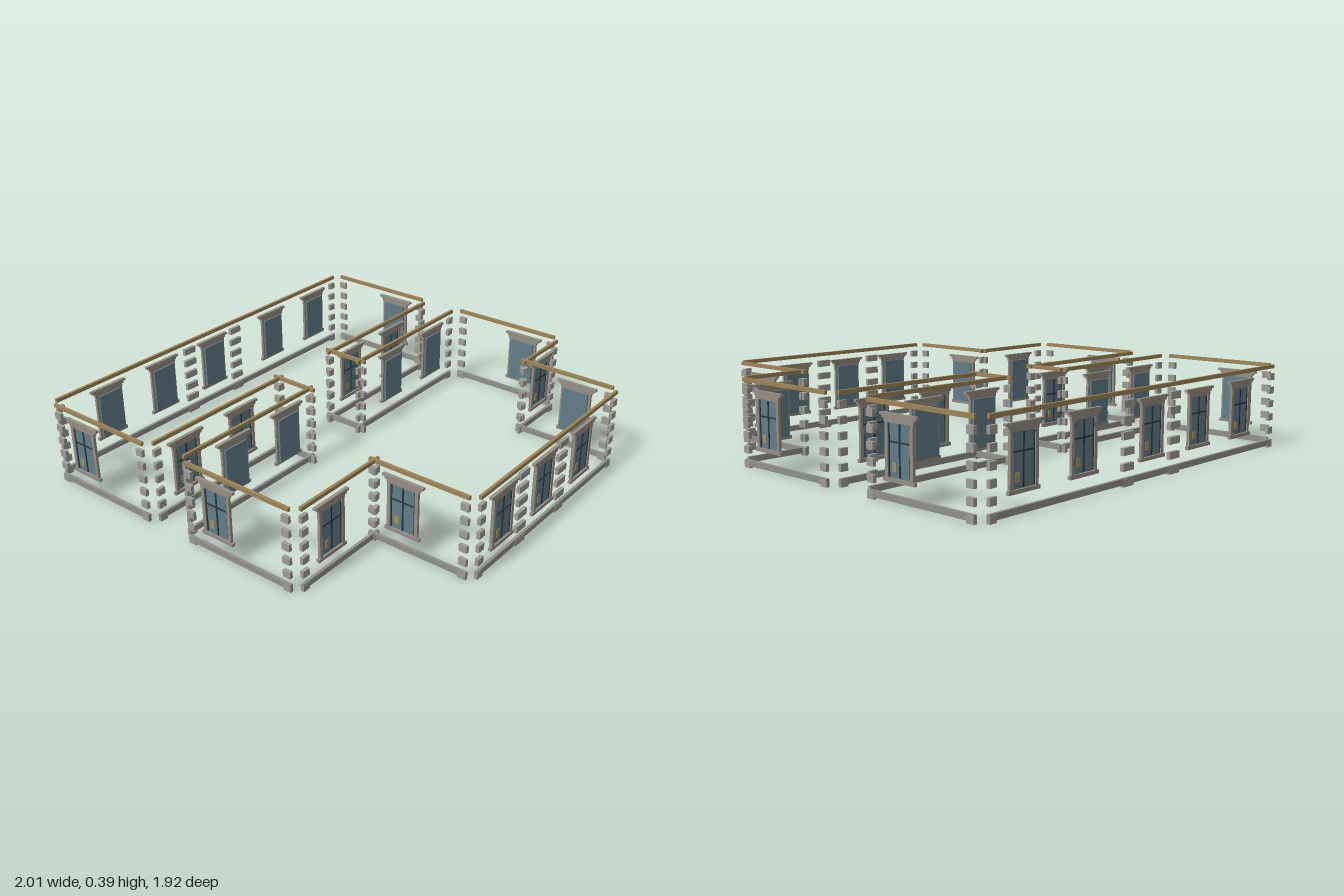
import * as THREE from 'three';

const mat = (color) => new THREE.MeshStandardMaterial({ color });
const M = {
  stone: mat(0x9c9a94), base: mat(0x8f8f8a), band: mat(0x9c8458), trim: mat(0x958d82),
  glass: mat(0x627c88), dark: mat(0x2c3840), brass: mat(0xa8955c),
};

function box(parent, name, material, w, h, d, x, y, z) {
  const mesh = new THREE.Mesh(new THREE.BoxGeometry(w, h, d), material);
  mesh.name = name;
  mesh.position.set(x, y, z);
  parent.add(mesh);
}

// Window, outside towards local +z
function makeWindow() {
  const g = new THREE.Group();
  g.name = 'window';
  box(g, 'glass', M.glass, 0.128, 0.21, 0.014, 0, 0.203, -0.006);
  for (const s of [-1, 1]) {
    box(g, 'sideFrame', M.trim, 0.016, 0.21, 0.012, s * 0.068, 0.203, 0.002);
    box(g, 'sashStile', M.dark, 0.005, 0.2, 0.004, s * 0.057, 0.203, 0.002);
  }
  box(g, 'mullion', M.dark, 0.007, 0.2, 0.004, 0, 0.203, 0.002);
  box(g, 'crossBar', M.dark, 0.118, 0.006, 0.004, 0, 0.235, 0.002);
  box(g, 'lock', M.brass, 0.02, 0.035, 0.003, -0.03, 0.142, 0.002);
  box(g, 'sill', M.trim, 0.17, 0.015, 0.014, 0, 0.092, 0.003);
  // stepped cornice
  box(g, 'lintel', M.trim, 0.158, 0.014, 0.012, 0, 0.314, 0.002);
  box(g, 'corniceStep', M.trim, 0.176, 0.01, 0.014, 0, 0.326, 0.003);
  box(g, 'corniceCap', M.trim, 0.2, 0.011, 0.016, 0, 0.3365, 0.003);
  return g;
}

// Column of stacked stone blocks
function blocks(parent, x, width) {
  for (let i = 0; i < 6; i++) {
    box(parent, 'quoin', M.stone, width, 0.031, 0.016, x, 0.0155 + i * 0.063, 0);
  }
}

// facing: F, B (run along x) or L, R (run along z); "at" is the wall plane
const TURN = { F: 0, B: Math.PI, L: Math.PI / 2, R: -Math.PI / 2 };
function makeWall(facing, at, from, to, windows = [], piers = []) {
  const wall = new THREE.Group();
  wall.name = 'wall';
  const alongX = facing === 'F' || facing === 'B';
  const mid = (from + to) / 2, len = to - from;
  wall.rotation.y = TURN[facing];
  wall.position.set(alongX ? mid : at, 0, alongX ? at : mid);
  const sign = facing === 'F' || facing === 'R' ? 1 : -1;
  box(wall, 'topBand', M.band, len, 0.017, 0.013, 0, 0.3775, 0);
  box(wall, 'baseBand', M.base, len, 0.026, 0.013, 0, 0.022, 0);
  for (const s of [-1, 1]) blocks(wall, s * (len / 2 - 0.0185), 0.037);
  for (const p of piers) blocks(wall, sign * (p - mid), 0.07);
  for (const w of windows) {
    const win = makeWindow();
    win.position.x = sign * (w - mid);
    wall.add(win);
  }
  return wall;
}

export function createModel() {
  const model = new THREE.Group();
  model.name = 'building';
  const walls = [
    // rear and front facades
    ['B', -0.955, -0.965, 0.96, [-0.675, -0.34, 0, 0.44, 0.78], [-0.16, 0.16]],
    ['F', 0.948, -0.485, 0.64, [-0.31, 0.01, 0.335], [-0.16, 0.16]],
    // front wings
    ['F', 0.465, -0.965, -0.485, [-0.787]],
    ['F', 0.465, 0.64, 0.96, [0.815]],
    // projecting bay sides
    ['R', -0.51, 0.44, 0.92, [0.61]],
    ['L', 0.665, 0.44, 0.92, [0.74]],
    // outer sides
    ['R', -0.992, -0.925, -0.365, [-0.75]],
    ['R', -0.992, -0.12, 0.435, [0.05]],
    ['L', 0.992, -0.925, -0.365, [-0.545]],
    ['L', 0.992, -0.12, 0.435, [0.26]],
    // recessed courts
    ['F', -0.333, -0.965, -0.165, [-0.787, -0.45]],
    ['F', -0.333, 0.16, 0.96, [0.335, 0.667]],
    ['B', -0.155, -0.965, -0.165, [-0.675, -0.34]],
    ['B', -0.155, 0.16, 0.96, [0.44, 0.78]],
    ['R', -0.187, -0.362, -0.125],
    ['L', 0.187, -0.362, -0.125],
  ];
  for (const w of walls) model.add(makeWall(...w));
  return model;
}
